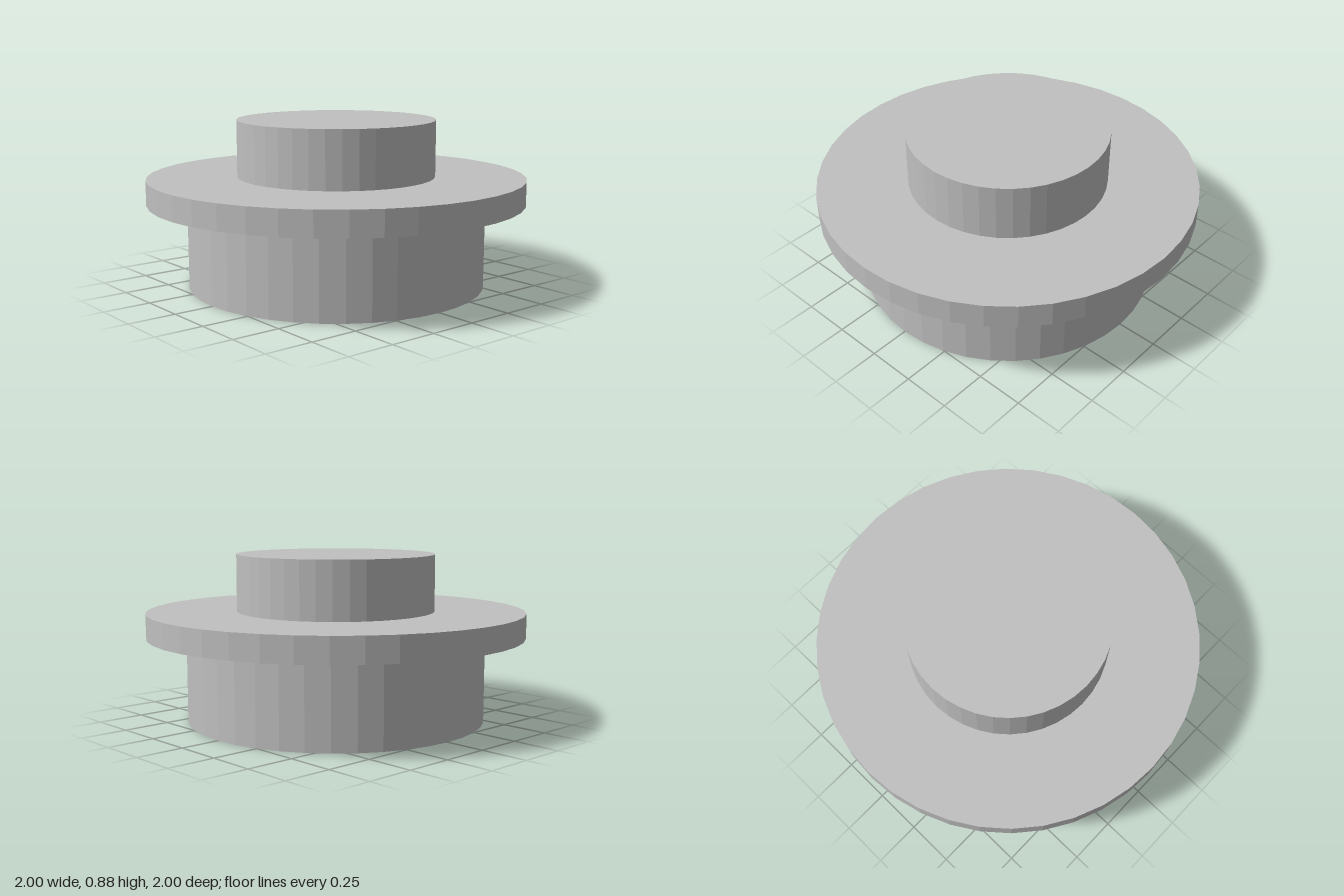
import * as THREE from 'three';

export function createModel() {
  const group = new THREE.Group();
  const grey = new THREE.MeshStandardMaterial({ color: 0xc0c0c0, flatShading: true });
  grey.name = 'lightGrey';

  // Stacked faceted discs: name, radius, bottom, top
  const tiers = [
    ['base', 0.79, 0, 0.45],
    ['flange', 1, 0.45, 0.58],
    ['topBoss', 0.525, 0.58, 0.88],
  ];
  for (const [name, radius, bottom, top] of tiers) {
    const geometry = new THREE.CylinderGeometry(radius, radius, top - bottom, 40);
    const mesh = new THREE.Mesh(geometry, grey);
    mesh.name = name;
    mesh.position.y = (bottom + top) / 2;
    group.add(mesh);
  }
  return group;
}
